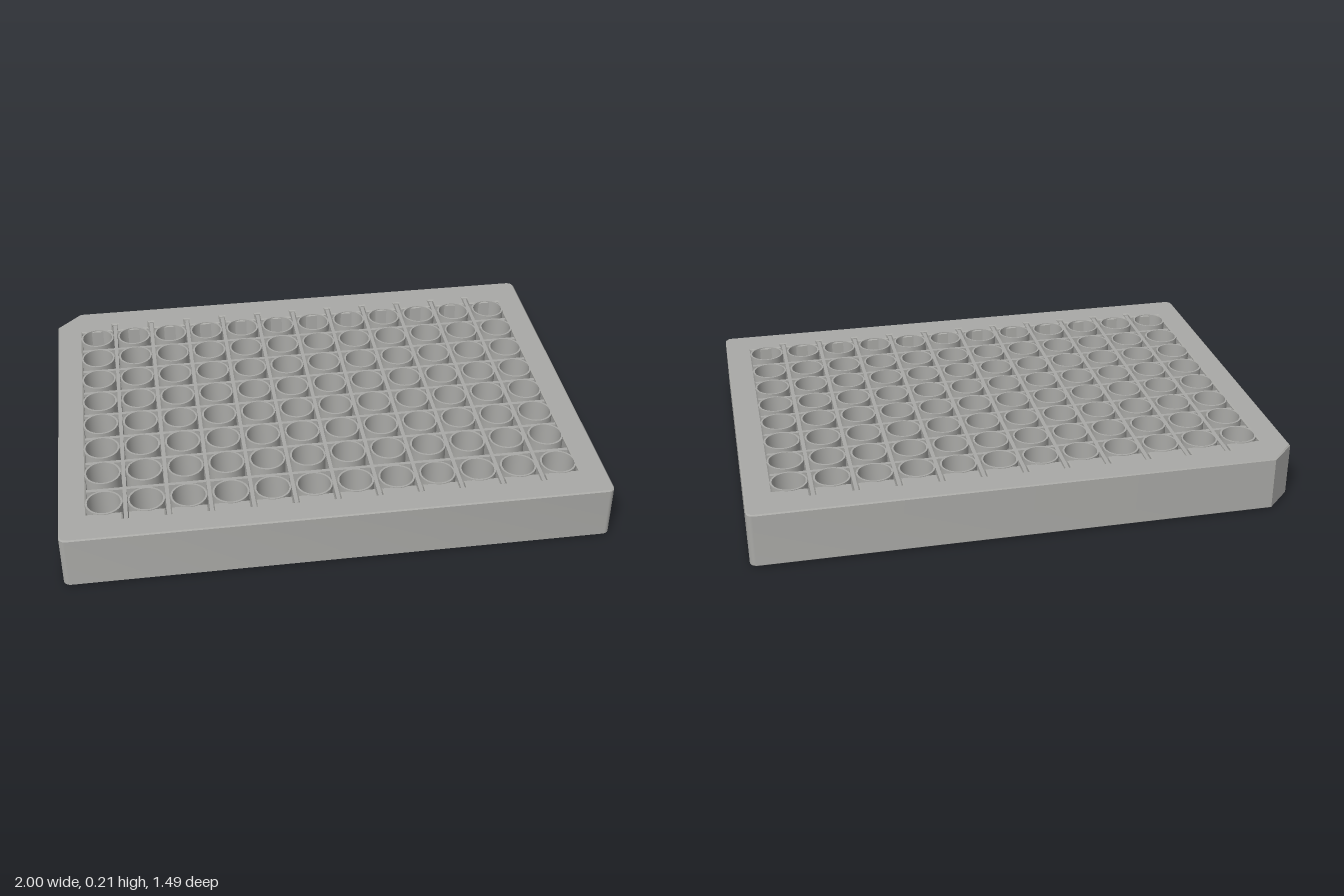
import * as THREE from 'three';
import { toCreasedNormals } from 'three/addons/utils/BufferGeometryUtils.js';

const PITCH = 0.1523;
const COLS = 12;
const ROW_Z = [-0.54, -0.387, -0.233, -0.078, 0.073, 0.227, 0.38, 0.553];
const HOLE = { x: 0.905, back: -0.6, front: 0.613, slotEnd: 0.65, slotHalf: 0.016 };

// Outer outline drawn in x / -z: three rounded corners, one cut corner at back left
function plateOutline() {
  const w = 0.995, d = 0.74, r = 0.025, cut = 0.09;
  const s = new THREE.Shape();
  s.moveTo(-w + r, -d);
  s.lineTo(w - r, -d);
  s.quadraticCurveTo(w, -d, w, -d + r);
  s.lineTo(w, d - r);
  s.quadraticCurveTo(w, d, w - r, d);
  s.lineTo(-w + cut, d);
  s.lineTo(-w, d - cut);
  s.lineTo(-w, -d + r);
  s.quadraticCurveTo(-w, -d, -w + r, -d);
  return s;
}

// Central opening with a narrow slot between every two columns
function slottedOpening() {
  const { x, back, front, slotEnd, slotHalf } = HOLE;
  const pts = [[-x, -front]];
  const slots = Array.from({ length: COLS - 1 }, (_, i) => (i - (COLS - 2) / 2) * PITCH);
  for (const c of slots) {
    pts.push([c - slotHalf, -front], [c - slotHalf, -slotEnd],
      [c + slotHalf, -slotEnd], [c + slotHalf, -front]);
  }
  pts.push([x, -front], [x, -back]);
  for (const c of slots.reverse()) {
    pts.push([c + slotHalf, -back], [c + slotHalf, slotEnd],
      [c - slotHalf, slotEnd], [c - slotHalf, -back]);
  }
  pts.push([-x, -back]);
  return new THREE.Path(pts.map(([a, b]) => new THREE.Vector2(a, b)));
}

export function createModel() {
  const model = new THREE.Group();
  model.name = 'wellPlate';
  const plastic = new THREE.MeshStandardMaterial({ color: 0xa9a9a6 });
  plastic.name = 'grey plastic';

  const add = (parent, name, geometry, x, y, z) => {
    const mesh = new THREE.Mesh(geometry, plastic);
    mesh.name = name;
    mesh.position.set(x, y, z);
    parent.add(mesh);
  };

  // Solid surrounding frame with a slightly softened edge
  const outline = plateOutline();
  outline.holes.push(slottedOpening());
  const frame = new THREE.ExtrudeGeometry(outline, {
    depth: 0.198, bevelEnabled: true, bevelThickness: 0.004,
    bevelSize: 0.005, bevelSegments: 1, curveSegments: 6,
  });
  frame.rotateX(-Math.PI / 2);
  add(model, 'frame', toCreasedNormals(frame, 0.5), 0, 0.008, 0);

  // Open cups with a closed floor
  const R = 0.067, r = 0.06;
  const profile = [[0, 0], [R, 0], [R, 0.213], [r, 0.213], [r, 0.015], [0, 0.015]];
  const well = toCreasedNormals(
    new THREE.LatheGeometry(profile.map(([a, b]) => new THREE.Vector2(a, b)), 32), 0.6);
  const wells = new THREE.Group();
  wells.name = 'wells';
  for (const z of ROW_Z) {
    for (let i = 0; i < COLS; i++) add(wells, 'well', well, (i - (COLS - 1) / 2) * PITCH, 0, z);
  }
  model.add(wells);

  // Thin ribs between the columns and rows
  const ribs = new THREE.Group();
  ribs.name = 'ribs';
  const columnRib = new THREE.BoxGeometry(0.014, 0.19, 1.304);
  for (let i = 0; i < COLS - 1; i++) {
    add(ribs, 'columnRib', columnRib, (i - (COLS - 2) / 2) * PITCH, 0.107, 0);
  }
  const rowRib = new THREE.BoxGeometry(1.82, 0.19, 0.014);
  for (let i = 0; i < ROW_Z.length - 1; i++) {
    add(ribs, 'rowRib', rowRib, 0, 0.106, (ROW_Z[i] + ROW_Z[i + 1]) / 2);
  }
  model.add(ribs);

  return model;
}
